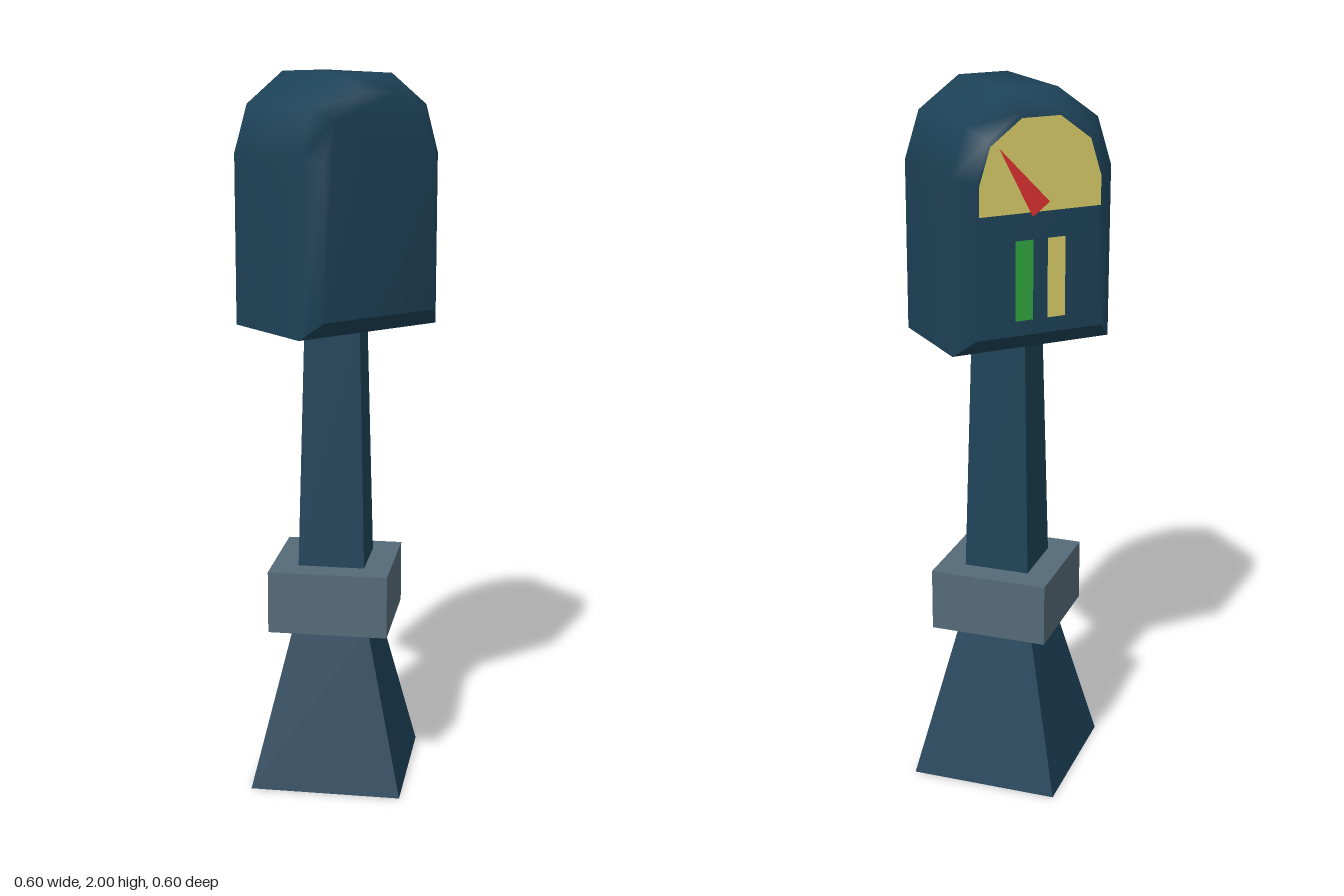
import * as THREE from 'three';
import { mergeVertices, toCreasedNormals } from 'three/addons/utils/BufferGeometryUtils.js';

const material = (name, color, extra = {}) => {
  const m = new THREE.MeshStandardMaterial({ color, ...extra });
  m.name = name;
  return m;
};

const shapeOf = (points) => new THREE.Shape(points.map(([z, y]) => new THREE.Vector2(z, y)));

// Closed arch outline: the right-hand points, then their mirror image
const arch = (half) => shapeOf([...half, ...half.map(([z, y]) => [-z, y]).reverse()]);

// Splits a geometry into its downward-facing triangles and all the others
function splitUnderside(geometry) {
  const p = geometry.toNonIndexed().getAttribute('position');
  const under = [], rest = [];
  const tri = new THREE.Triangle(), normal = new THREE.Vector3();
  for (let i = 0; i < p.count; i += 3) {
    tri.setFromAttributeAndIndices(p, i, i + 1, i + 2);
    const target = tri.getNormal(normal).y < -0.5 ? under : rest;
    for (const v of [tri.a, tri.b, tri.c]) target.push(v.x, v.y, v.z);
  }
  return [under, rest].map((list) => new THREE.BufferGeometry()
    .setAttribute('position', new THREE.Float32BufferAttribute(list, 3)));
}

export function createModel() {
  const blue = material('blue paint', 0x1d4258, { side: THREE.DoubleSide });
  const grey = material('grey metal', 0x546a78);
  const yellow = material('yellow dial', 0xd8cc68);
  const red = material('red needle', 0xdc3030);
  const green = material('green strip', 0x30a440);

  const model = new THREE.Group();
  model.name = 'parkingMeter';
  const add = (name, geometry, mat) => {
    const mesh = new THREE.Mesh(geometry, mat);
    mesh.name = name;
    model.add(mesh);
  };

  // Four-sided stand with its corners on the x and z axes
  const post = (name, topRadius, bottomRadius, y0, y1, mat, open) => {
    const g = new THREE.CylinderGeometry(topRadius, bottomRadius, y1 - y0, 4, 1, open);
    g.translate(0, (y0 + y1) / 2, 0);
    add(name, toCreasedNormals(g, 0.3), mat);
  };
  post('base', 0.15, 0.3, 0, 0.46, blue, true);
  post('collar', 0.237, 0.237, 0.46, 0.637, grey, false);
  post('pole', 0.108, 0.132, 0.637, 1.33, blue, true);

  // Bevelled arched head, extruded along x: smooth body, flat underside
  const head = new THREE.ExtrudeGeometry(
    arch([[0.232, 1.316], [0.232, 1.785], [0.19, 1.915], [0.072, 2]]),
    { depth: 0.3, bevelThickness: 0.048, bevelSize: 0.048, bevelOffset: -0.048, bevelSegments: 1 },
  );
  head.translate(0, 0, -0.15);
  head.rotateY(-Math.PI / 2);
  const [underside, shell] = splitUnderside(head);
  underside.computeVertexNormals();
  add('headUnderside', underside, blue);
  const body = mergeVertices(shell);
  body.computeVertexNormals();
  add('headBody', body, blue);

  // Painted details on the -x face
  const plate = (name, shape, x, mat) => {
    const g = new THREE.ShapeGeometry(shape);
    g.rotateY(-Math.PI / 2);
    g.translate(x, 0, 0);
    add(name, g, mat);
  };
  const strip = (z0, z1) => shapeOf([[z0, 1.405], [z1, 1.405], [z1, 1.62], [z0, 1.62]]);
  plate('dial', arch([[0.176, 1.692], [0.176, 1.77], [0.144, 1.87], [0.055, 1.936]]), -0.2, yellow);
  plate('needle', shapeOf([[-0.024, 1.68], [0.025, 1.716], [-0.12, 1.865]]), -0.202, red);
  plate('greenStrip', strip(-0.073, -0.021), -0.2, green);
  plate('yellowStrip', strip(0.021, 0.073), -0.2, yellow);

  return model;
}
